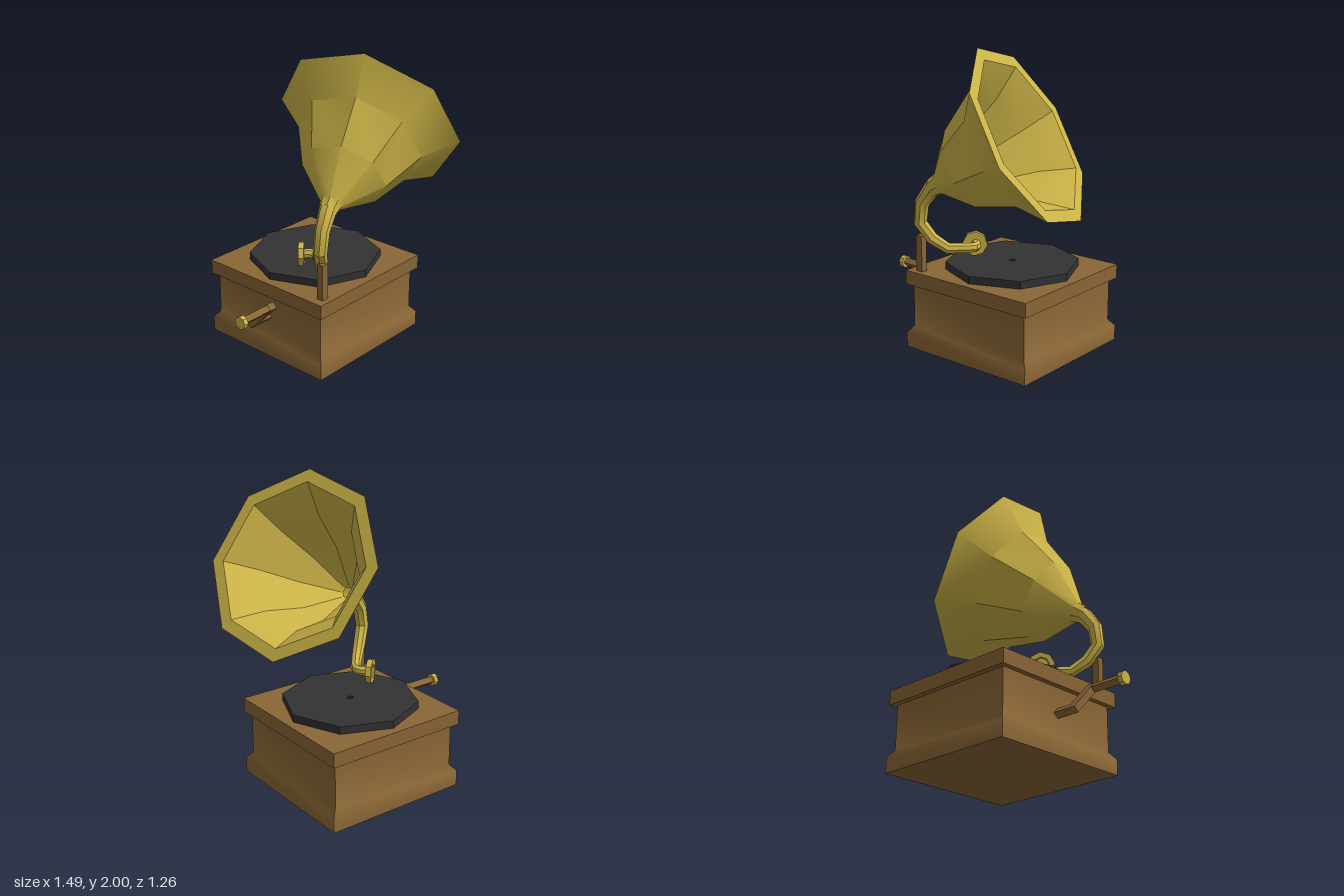
import * as THREE from 'three';
import { toCreasedNormals } from 'three/addons/utils/BufferGeometryUtils.js';

const V3 = (x, y, z) => new THREE.Vector3(x, y, z);
const paint = (color) => new THREE.MeshStandardMaterial({ color });
const wood = paint(0x8a6636);
const brass = paint(0xcdb548);
const black = paint(0x333333);

function part(name, geometry, material, crease = 0.6) {
  const mesh = new THREE.Mesh(toCreasedNormals(geometry, crease), material);
  mesh.name = name;
  return mesh;
}

// Faceted turned shape from [radius, height] pairs
function turned(profile, sides) {
  return new THREE.LatheGeometry(profile.map(([r, y]) => new THREE.Vector2(r, y)), sides);
}

// Tapering tube through [x, y, z, radius] stations
function sweep(stations, sides) {
  const centres = stations.map(([x, y, z]) => V3(x, y, z));
  const last = centres.length - 1;
  const positions = [], index = [];
  const u = V3(0, 0, 1);
  centres.forEach((c, i) => {
    const before = c.clone().sub(centres[Math.max(i - 1, 0)]).normalize();
    const after = centres[Math.min(i + 1, last)].clone().sub(c).normalize();
    const t = before.add(after).normalize();
    u.addScaledVector(t, -u.dot(t)).normalize();
    const v = t.clone().cross(u);
    for (let j = 0; j < sides; j++) {
      const a = ((j + 0.5) / sides) * Math.PI * 2;
      const p = c.clone()
        .addScaledVector(u, Math.cos(a) * stations[i][3])
        .addScaledVector(v, Math.sin(a) * stations[i][3]);
      positions.push(p.x, p.y, p.z);
      if (i < last) {
        const k = i * sides + j, n = i * sides + ((j + 1) % sides);
        index.push(k, n, k + sides, n, n + sides, k + sides);
      }
    }
  });
  const g = new THREE.BufferGeometry();
  g.setAttribute('position', new THREE.Float32BufferAttribute(positions, 3));
  g.setIndex(index);
  return g;
}

export function createModel() {
  const model = new THREE.Group();
  model.name = 'gramophone';
  const cx = 0.105, cz = -0.14;

  // Square cabinet with a flared foot and overhanging lid
  const cabinetProfile = [[0, 0], [0.493, 0], [0.493, 0.1], [0.457, 0.145], [0.457, 0.435],
    [0.493, 0.435], [0.493, 0.53], [0, 0.53]];
  const cabinet = turned(cabinetProfile.map(([r, y]) => [r * Math.SQRT2, y]), 4)
    .rotateY(Math.PI / 4).translate(cx, 0, cz);
  model.add(part('cabinet', cabinet, wood, 0.75));

  // Octagonal record with a spindle hole
  const record = turned([[0.022, 0.53], [0.44, 0.53], [0.44, 0.58], [0.022, 0.58], [0.022, 0.53]], 8)
    .translate(cx, 0, cz);
  model.add(part('record', record, black));

  // Post carrying the tone arm
  model.add(part('armPost', new THREE.BoxGeometry(0.05, 0.25, 0.045).translate(-0.305, 0.645, 0.292), wood));

  // Tone arm, from the horn's neck down to the sound box
  const arm = sweep([
    [-0.16, 1.13, 0.242, 0.066],
    [-0.235, 1.08, 0.265, 0.055],
    [-0.3, 0.985, 0.283, 0.048],
    [-0.318, 0.85, 0.283, 0.046],
    [-0.26, 0.745, 0.238, 0.043],
    [-0.185, 0.675, 0.17, 0.038],
    [-0.1, 0.67, 0.07, 0.034],
    [-0.078, 0.67, 0.03, 0.034],
    [-0.09, 0.67, -0.005, 0.033],
    [-0.13, 0.67, -0.045, 0.032],
  ], 8);
  model.add(part('toneArm', arm, brass));

  // Sound box: upright octagonal disc with a recessed outer face
  const soundBox = part('soundBox', turned([[0, -0.018], [0.083, -0.018], [0.083, 0.018],
    [0.05, 0.018], [0.045, 0.01], [0, 0.01]], 8), brass);
  soundBox.position.set(-0.135, 0.67, -0.045);
  soundBox.quaternion.setFromUnitVectors(V3(0, 1, 0), V3(-0.64, 0, -0.77).normalize());
  model.add(soundBox);

  // Octagonal flaring horn: outside, flat lip, then inside
  const horn = part('horn', turned([
    [0.06, -0.76], [0.072, -0.7], [0.28, -0.472], [0.418, -0.187], [0.613, 0],
    [0.53, 0], [0.375, -0.187], [0.24, -0.46], [0.04, -0.69], [0, -0.7],
  ], 8), brass);
  const axis = V3(0.822, 0.506, -0.26).normalize();
  const up = V3(-0.2675, 0.525, 0.175);
  up.addScaledVector(axis, -up.dot(axis)).normalize();
  horn.quaternion.setFromRotationMatrix(
    new THREE.Matrix4().makeBasis(axis.clone().cross(up), axis, up));
  horn.position.set(0.397, 1.475, 0.065);
  model.add(horn);

  // Crank: shaft, slanting arm, handle and knob
  const crank = new THREE.Group();
  crank.name = 'crank';
  const bar = (name, x0, x1, y0, y1, depth) => crank.add(part(name,
    new THREE.BoxGeometry(x1 - x0, y1 - y0, depth)
      .translate((x0 + x1) / 2, (y0 + y1) / 2, 0), wood));
  bar('crankShaft', -0.5, -0.34, -0.023, 0.023, 0.046);
  bar('crankArm', -0.51, -0.455, -0.023, 0.243, 0.046);
  bar('crankHandle', -0.725, -0.46, 0.199, 0.241, 0.042);
  const knob = new THREE.CylinderGeometry(0.043, 0.043, 0.033, 8)
    .rotateZ(Math.PI / 2).translate(-0.733, 0.22, 0);
  crank.add(part('crankKnob', knob, brass));
  crank.position.set(0, 0.2725, -0.142);
  crank.rotation.x = 0.747;
  model.add(crank);

  return model;
}
